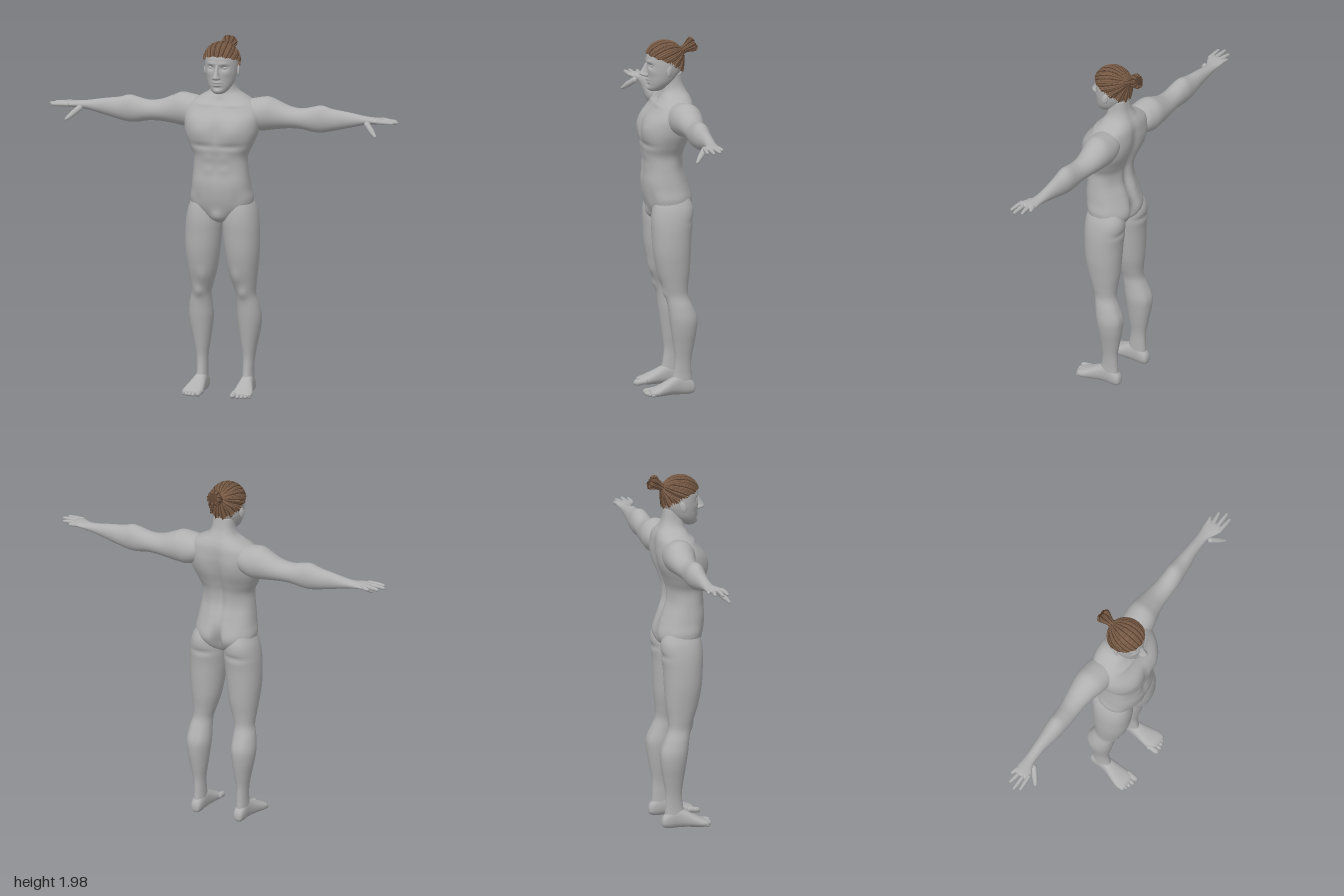
import * as THREE from 'three';

const skin = new THREE.MeshStandardMaterial({ color: 0xb0b0b0 });
skin.name = 'skin';
const hair = new THREE.MeshStandardMaterial({ color: 0x7d5f49, side: THREE.DoubleSide });
hair.name = 'hair';
const darkHair = new THREE.MeshStandardMaterial({ color: 0x57402f, side: THREE.DoubleSide });
darkHair.name = 'darkHair';

// Axis order per loft direction: [along, a, b]
const AXES = { x: [0, 2, 1], y: [1, 0, 2], z: [2, 1, 0] };

// Smooth skin over elliptical sections [t, aMin, aMax, bMin, bMax].
// bumps: [|a|, t, side of b, radius a, radius t, amount] push the surface along b.
function loft(axis, sections, { segs = 32, steps = 5, power = 2, bumps = [] } = {}) {
  const [T, A, B] = AXES[axis], pos = [], index = [], rows = [];
  const at = i => sections[Math.min(Math.max(i, 0), sections.length - 1)];
  for (let i = 0; i < sections.length - 1; i++) {
    for (let s = 0; s < steps; s++) {
      const u = s / steps;
      rows.push(at(i).map((p1, k) => {
        const p0 = at(i - 1)[k], p2 = at(i + 1)[k], p3 = at(i + 2)[k];
        return 0.5 * (2 * p1 + (p2 - p0) * u + (2 * p0 - 5 * p1 + 4 * p2 - p3) * u * u
          + (3 * p1 - p0 - 3 * p2 + p3) * u * u * u);
      }));
    }
  }
  rows.push(at(sections.length - 1));
  const round = c => Math.sign(c) * Math.abs(c) ** (2 / power);
  const add = (t, a, b) => {
    const p = [0, 0, 0];
    p[T] = t; p[A] = a; p[B] = b;
    pos.push(...p);
  };
  rows.forEach(([t, a0, a1, b0, b1], r) => {
    for (let j = 0; j < segs; j++) {
      const angle = j / segs * Math.PI * 2, sin = Math.sin(angle);
      const a = (a0 + a1) / 2 + (a1 - a0) / 2 * round(Math.cos(angle));
      let b = (b0 + b1) / 2 + (b1 - b0) / 2 * round(sin);
      for (const [ba, bt, side, ra, rt, amount] of bumps) {
        if (sin * side <= 0) continue;
        b += sin * amount * Math.exp(-(((Math.abs(a) - ba) / ra) ** 2) - ((t - bt) / rt) ** 2);
      }
      add(t, a, b);
      if (r < rows.length - 1) {
        const i = r * segs + j, n = r * segs + (j + 1) % segs;
        index.push(i, i + segs, n, n, i + segs, n + segs);
      }
    }
  });
  // End caps
  const first = rows[0], last = rows[rows.length - 1], c = rows.length * segs;
  for (const e of [first, last]) add(e[0], (e[1] + e[2]) / 2, (e[3] + e[4]) / 2);
  for (let j = 0; j < segs; j++) {
    const n = (j + 1) % segs, top = c - segs;
    index.push(c, j, n, c + 1, top + n, top + j);
  }
  const g = new THREE.BufferGeometry();
  g.setAttribute('position', new THREE.Float32BufferAttribute(pos, 3));
  g.setIndex(index);
  g.computeVertexNormals();
  return g;
}

// Rounded, tapering finger or toe between two points
function digit(from, to, r0, r1) {
  const a = new THREE.Vector3(...from), d = new THREE.Vector3(...to).sub(a), L = d.length();
  const profile = [[0, -r0], [r0 * 0.8, -r0 * 0.5], [r0, 0], [r0 * 0.92, L * 0.3], [r0 * 0.96, L * 0.48],
    [r1, L - r1], [r1 * 0.7, L - r1 * 0.3], [0, L]].map(p => new THREE.Vector2(...p));
  const g = new THREE.LatheGeometry(profile, 12);
  g.applyQuaternion(new THREE.Quaternion().setFromUnitVectors(new THREE.Vector3(0, 1, 0), d.normalize()));
  return g.translate(a.x, a.y, a.z);
}

function mirrored(geometry) {
  const g = geometry.clone().scale(-1, 1, 1), ix = g.index.array;
  for (let i = 0; i < ix.length; i += 3) [ix[i], ix[i + 1]] = [ix[i + 1], ix[i]];
  return g;
}

export function createModel() {
  const model = new THREE.Group();
  const add = (name, geometry, material = skin) => {
    const m = new THREE.Mesh(geometry, material);
    m.name = name;
    model.add(m);
  };
  const pair = (name, geometry) => {
    add(name + 'Left', geometry);
    add(name + 'Right', mirrored(geometry));
  };
  const even = rows => rows.map(([y, w, back, front]) => [y, -w, w, back, front]);

  // Torso and neck, with chest, abdomen, spine and seat modelling
  add('torso', loft('y', even([
    [0.965, 0.015, -0.02, 0.06], [0.985, 0.05, -0.06, 0.1], [1.02, 0.115, -0.095, 0.115],
    [1.06, 0.165, -0.112, 0.128], [1.1, 0.175, -0.115, 0.138], [1.15, 0.166, -0.105, 0.145],
    [1.2, 0.16, -0.088, 0.146], [1.27, 0.152, -0.066, 0.138], [1.34, 0.15, -0.07, 0.142],
    [1.4, 0.176, -0.09, 0.153], [1.47, 0.203, -0.115, 0.152], [1.54, 0.212, -0.128, 0.138],
    [1.59, 0.206, -0.13, 0.105], [1.63, 0.178, -0.127, 0.075], [1.66, 0.13, -0.117, 0.054],
    [1.69, 0.083, -0.1, 0.04], [1.73, 0.064, -0.082, 0.038], [1.79, 0.06, -0.07, 0.045]]), {
    segs: 96, steps: 7, power: 2.35, bumps: [
      [0.1, 1.49, 1, 0.075, 0.06, 0.016], [0, 1.48, 1, 0.014, 0.08, -0.008],
      [0.09, 1.405, 1, 0.09, 0.016, -0.009], [0, 1.27, 1, 0.012, 0.12, -0.005],
      [0.045, 1.34, 1, 0.03, 0.025, 0.004], [0.045, 1.27, 1, 0.03, 0.025, 0.005],
      [0.115, 1.1, 1, 0.03, 0.05, -0.008], [0, 1.01, 1, 0.03, 0.03, 0.014],
      [0.09, 1.625, 1, 0.08, 0.012, 0.008], [0, 1.645, 1, 0.018, 0.015, -0.008],
      [0, 1.42, -1, 0.025, 0.2, -0.02], [0.11, 1.52, -1, 0.06, 0.08, 0.01],
      [0.05, 1.25, -1, 0.035, 0.12, 0.01], [0.08, 1.075, -1, 0.06, 0.06, 0.012],
      [0, 1.05, -1, 0.022, 0.08, -0.045]] }));

  // Legs
  pair('leg', loft('y', [
    [0.04, 0.1, 0.162, -0.1, 0], [0.08, 0.1, 0.162, -0.103, 0.008], [0.13, 0.101, 0.161, -0.1, -0.002],
    [0.2, 0.1, 0.166, -0.1, -0.008], [0.28, 0.088, 0.181, -0.114, 0.002], [0.36, 0.077, 0.198, -0.127, 0.014],
    [0.43, 0.07, 0.205, -0.127, 0.024], [0.5, 0.073, 0.196, -0.104, 0.032], [0.56, 0.073, 0.182, -0.083, 0.042],
    [0.62, 0.056, 0.187, -0.084, 0.062], [0.7, 0.034, 0.197, -0.094, 0.088], [0.8, 0.018, 0.207, -0.1, 0.108],
    [0.9, 0.008, 0.208, -0.105, 0.115], [0.98, 0.005, 0.203, -0.115, 0.118], [1.05, 0.02, 0.188, -0.116, 0.11],
    [1.11, 0.045, 0.16, -0.09, 0.09]], { segs: 48, steps: 6, power: 2.1, bumps: [
    [0.125, 0.57, 1, 0.03, 0.03, 0.012], [0.09, 0.66, 1, 0.03, 0.045, 0.009],
    [0.1, 0.44, -1, 0.025, 0.06, 0.006], [0.165, 0.45, -1, 0.025, 0.06, 0.006],
    [0.1, 0.98, -1, 0.08, 0.014, -0.009]] }));

  // Feet and toes
  pair('foot', loft('z', [
    [-0.121, 0.025, 0.045, 0.122, 0.14], [-0.112, 0.008, 0.07, 0.106, 0.156], [-0.08, 0, 0.1, 0.099, 0.163],
    [-0.04, 0.001, 0.115, 0.097, 0.165], [0, 0.002, 0.102, 0.094, 0.172], [0.05, 0.001, 0.075, 0.089, 0.187],
    [0.095, 0, 0.052, 0.086, 0.199], [0.125, 0.004, 0.04, 0.09, 0.196], [0.138, 0.012, 0.028, 0.105, 0.185]],
  { power: 2.3 }));
  [[0.1, 0.165, 0.017], [0.127, 0.163, 0.0125], [0.149, 0.156, 0.012], [0.169, 0.147, 0.0115], [0.187, 0.135, 0.0115]]
    .forEach(([x, tip, r], i) => pair('toe' + i, digit([x - 0.003, r + 0.009, 0.1], [x, r, tip], r, r * 0.95)));

  // Arms running into flat palms
  pair('arm', loft('x', [
    [0.09, -0.09, 0.02, 1.53, 1.62], [0.14, -0.122, 0.045, 1.495, 1.645], [0.2, -0.134, 0.045, 1.474, 1.658],
    [0.25, -0.135, 0.036, 1.478, 1.662], [0.3, -0.13, 0.022, 1.485, 1.642], [0.37, -0.119, 0.009, 1.493, 1.614],
    [0.44, -0.108, 0.006, 1.492, 1.607], [0.5, -0.105, 0.006, 1.481, 1.62], [0.55, -0.105, 0.002, 1.479, 1.629],
    [0.61, -0.1, -0.005, 1.49, 1.613], [0.7, -0.09, -0.018, 1.512, 1.6], [0.78, -0.084, -0.022, 1.532, 1.586],
    [0.825, -0.083, -0.015, 1.54, 1.581], [0.86, -0.086, 0.004, 1.546, 1.58], [0.895, -0.086, 0.014, 1.551, 1.578],
    [0.912, -0.075, 0.008, 1.558, 1.572]], { segs: 40 }));

  // Fingers and thumb: base z, tip z, tip x
  [[-0.073, -0.086, 0.93], [-0.048, -0.062, 0.977], [-0.022, -0.022, 0.997], [0.003, 0.01, 0.98]]
    .forEach(([z0, z1, x], i) => pair('finger' + i, digit([0.885, 1.565, z0], [x, 1.563, z1], 0.0125, 0.008)));
  pair('thumb', digit([0.82, 1.548, -0.01], [0.888, 1.487, 0.05], 0.017, 0.009));

  // Head with eye sockets, brow, cheeks, lips and chin
  add('head', loft('y', even([
    [1.69, 0.02, 0.05, 0.098], [1.7, 0.038, 0.025, 0.11], [1.72, 0.057, -0.005, 0.114],
    [1.75, 0.074, -0.04, 0.116], [1.79, 0.085, -0.065, 0.118], [1.82, 0.089, -0.075, 0.12],
    [1.86, 0.09, -0.08, 0.121], [1.9, 0.085, -0.075, 0.115], [1.94, 0.06, -0.05, 0.085],
    [1.957, 0.025, -0.01, 0.045]]), { segs: 96, steps: 8, bumps: [
    [0.038, 1.838, 1, 0.02, 0.013, -0.013], [0.036, 1.862, 1, 0.028, 0.008, 0.006],
    [0.055, 1.805, 1, 0.02, 0.02, 0.005], [0, 1.756, 1, 0.022, 0.005, 0.009],
    [0, 1.742, 1, 0.019, 0.005, 0.009], [0, 1.749, 1, 0.026, 0.002, -0.004],
    [0, 1.708, 1, 0.025, 0.013, 0.006], [0, 1.727, 1, 0.025, 0.007, -0.004]] }));
  add('nose', loft('y', even([
    [1.772, 0.008, 0.1, 0.128], [1.778, 0.021, 0.1, 0.15], [1.787, 0.022, 0.1, 0.159], [1.797, 0.016, 0.1, 0.157],
    [1.82, 0.011, 0.1, 0.143], [1.848, 0.009, 0.1, 0.127], [1.865, 0.008, 0.1, 0.118]]), { segs: 24 }));
  pair('eye', new THREE.SphereGeometry(0.013, 16, 12).scale(1.15, 0.75, 1).translate(0.038, 1.838, 0.094));
  pair('ear', new THREE.SphereGeometry(1, 16, 12).scale(0.008, 0.031, 0.018)
    .rotateX(-0.2).rotateY(0.35).translate(0.092, 1.812, 0.012));

  // Swept-back hair: a scalp cap with strands gathered towards the tie
  const onScalp = (u, lift = 1) => new THREE.Vector3(u.x * 0.099 * lift,
    1.865 + u.y * (u.y > 0 ? 0.103 : 0.2) * lift, 0.02 + u.z * 0.107 * lift);
  const scalpDir = (angle, v) => {
    const x = -Math.cos(angle), z = Math.sin(angle);
    const e = THREE.MathUtils.lerp(Math.PI / 2, 0.36 * z - 0.02, v);
    return new THREE.Vector3(x * Math.cos(e), Math.sin(e), z * Math.cos(e));
  };
  const cap = new THREE.SphereGeometry(1, 48, 16), p = cap.attributes.position, uv = cap.attributes.uv;
  for (let r = 0, i = 0; r <= 16; r++) {
    for (let c = 0; c <= 48; c++, i++) {
      const q = onScalp(scalpDir(c / 48 * Math.PI * 2, r / 16));
      p.setXYZ(i, q.x, q.y, q.z);
    }
  }
  cap.computeVertexNormals();
  add('hairCap', cap, hair);

  const strand = (name, points, radius, i) => add(name,
    new THREE.TubeGeometry(new THREE.CatmullRomCurve3(points), 14, radius, 5), i % 3 ? hair : darkHair);
  const tie = new THREE.Vector3(0, 0.42, -0.9).normalize();
  for (let i = 0; i < 80; i++) {
    const start = scalpDir(i / 80 * Math.PI * 2, 0.97 + 0.03 * Math.sin(i * 7.3)), points = [];
    for (let k = 0; k <= 10; k++) points.push(onScalp(start.clone().lerp(tie, k / 10).normalize(), 1.005 + 0.008 * Math.sin(i * 4.1)));
    strand('hairStrand', points, 0.0038, i);
  }

  // Flared tied tail
  const tilt = g => g.rotateX(-1.05).translate(0, 1.9, -0.066);
  const flare = [[0, -0.01], [0.025, 0], [0.019, 0.025], [0.025, 0.05], [0.037, 0.075], [0.039, 0.088], [0.025, 0.095], [0, 0.097]];
  add('hairTail', tilt(new THREE.LatheGeometry(flare.map(q => new THREE.Vector2(...q)), 24)), darkHair);
  for (let i = 0; i < 26; i++) {
    const a = i / 26 * Math.PI * 2;
    const points = flare.slice(1, 7).map(([r, y]) => new THREE.Vector3(Math.cos(a) * r, y + 0.003 * Math.sin(i * 5), Math.sin(a) * r));
    const g = new THREE.TubeGeometry(new THREE.CatmullRomCurve3(points), 12, 0.004, 5);
    add('tailStrand', tilt(g), i % 3 ? hair : darkHair);
  }
  return model;
}
